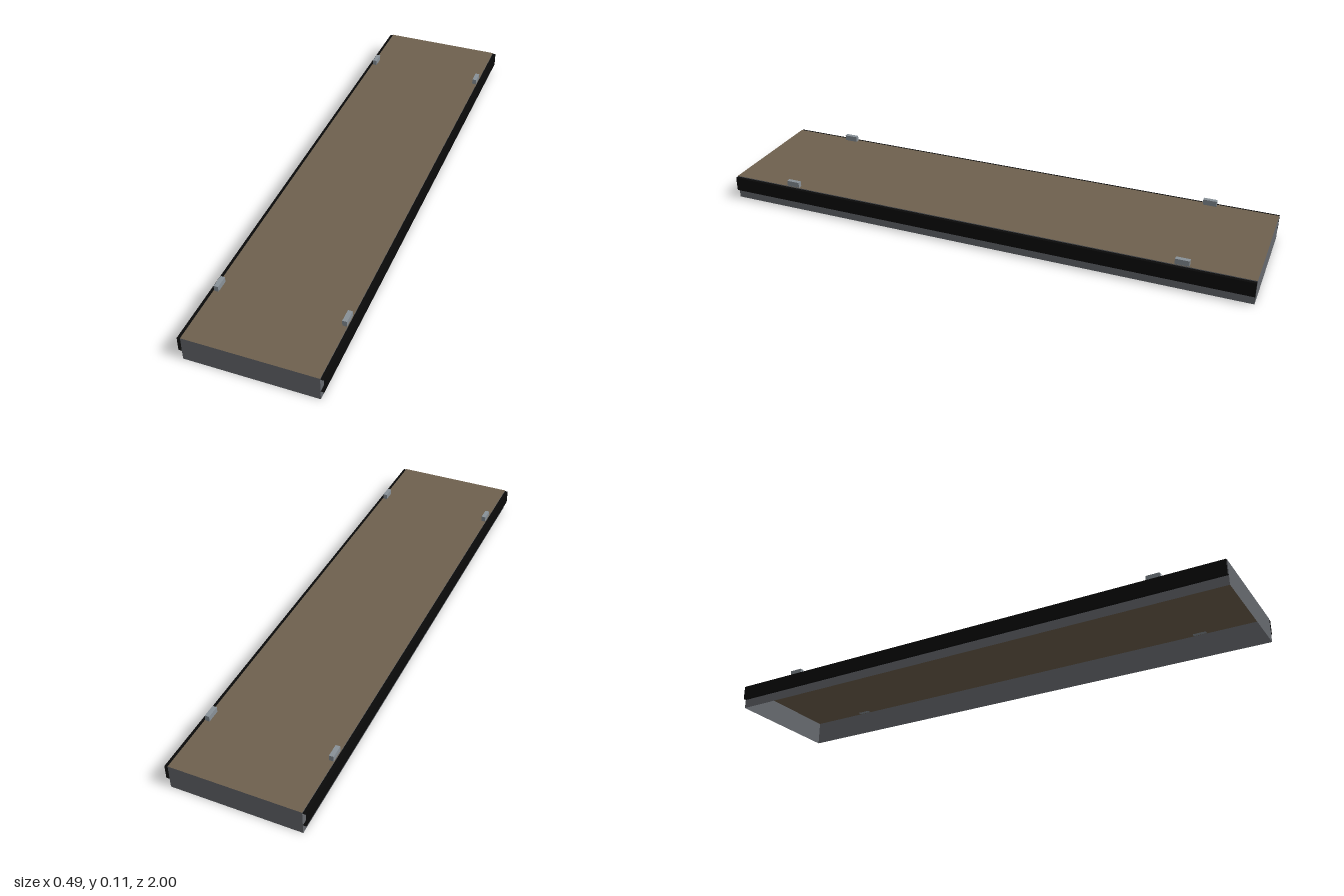
import * as THREE from 'three';

const W = 0.233, H = 0.091, L = 1, RAIL_X = 0.245, RAIL_LOW = 0.035, RAIL_TOP = 0.088;

export function createModel() {
  const model = new THREE.Group();
  model.name = 'platform';
  const mat = (name, color, side = THREE.DoubleSide) => {
    const m = new THREE.MeshStandardMaterial({ color, side });
    m.name = name;
    return m;
  };
  const deckBrown = mat('deckBrown', 0x6f614e);
  const frameGrey = mat('frameGrey', 0x66696e);
  const railBlack = mat('railBlack', 0x0a0a0a);
  const clipGrey = mat('clipGrey', 0x899198, THREE.FrontSide);

  const add = (name, geometry, material, x, y, z, rx = 0, ry = 0) => {
    const mesh = new THREE.Mesh(geometry, material);
    mesh.name = name;
    mesh.position.set(x, y, z);
    mesh.rotation.set(rx, ry, 0);
    model.add(mesh);
  };
  const plane = (w, h) => new THREE.PlaneGeometry(w, h);

  // Deck sheet, open underneath
  add('deck', plane(2 * W, 2 * L), deckBrown, 0, H, 0, -Math.PI / 2);

  // End walls
  add('frontWall', plane(2 * W, H), frameGrey, 0, H / 2, L);
  add('backWall', plane(2 * W, H), frameGrey, 0, H / 2, -L, 0, Math.PI);

  for (const s of [1, -1]) {
    const side = s > 0 ? 'left' : 'right';
    const lip = RAIL_X - W;
    const lipX = s * (W + lip / 2);

    // Side wall
    add(side + 'Wall', plane(2 * L, H), frameGrey, s * W, H / 2, 0, 0, s * Math.PI / 2);

    // Side rail: an open-ended channel along the wall
    add(side + 'RailFace', plane(2 * L, RAIL_TOP - RAIL_LOW), railBlack,
      s * RAIL_X, (RAIL_TOP + RAIL_LOW) / 2, 0, 0, s * Math.PI / 2);
    add(side + 'RailTop', plane(lip, 2 * L), railBlack, lipX, RAIL_TOP, 0, -Math.PI / 2);
    add(side + 'RailBottom', plane(lip, 2 * L), railBlack, lipX, RAIL_LOW, 0, Math.PI / 2);

    // Small clips on the deck edge
    for (const z of [0.75, -0.75]) {
      add(side + (z > 0 ? 'Front' : 'Back') + 'Clip', new THREE.BoxGeometry(0.016, 0.021, 0.05),
        clipGrey, s * 0.223, H + 0.0102, z);
    }
  }
  return model;
}
